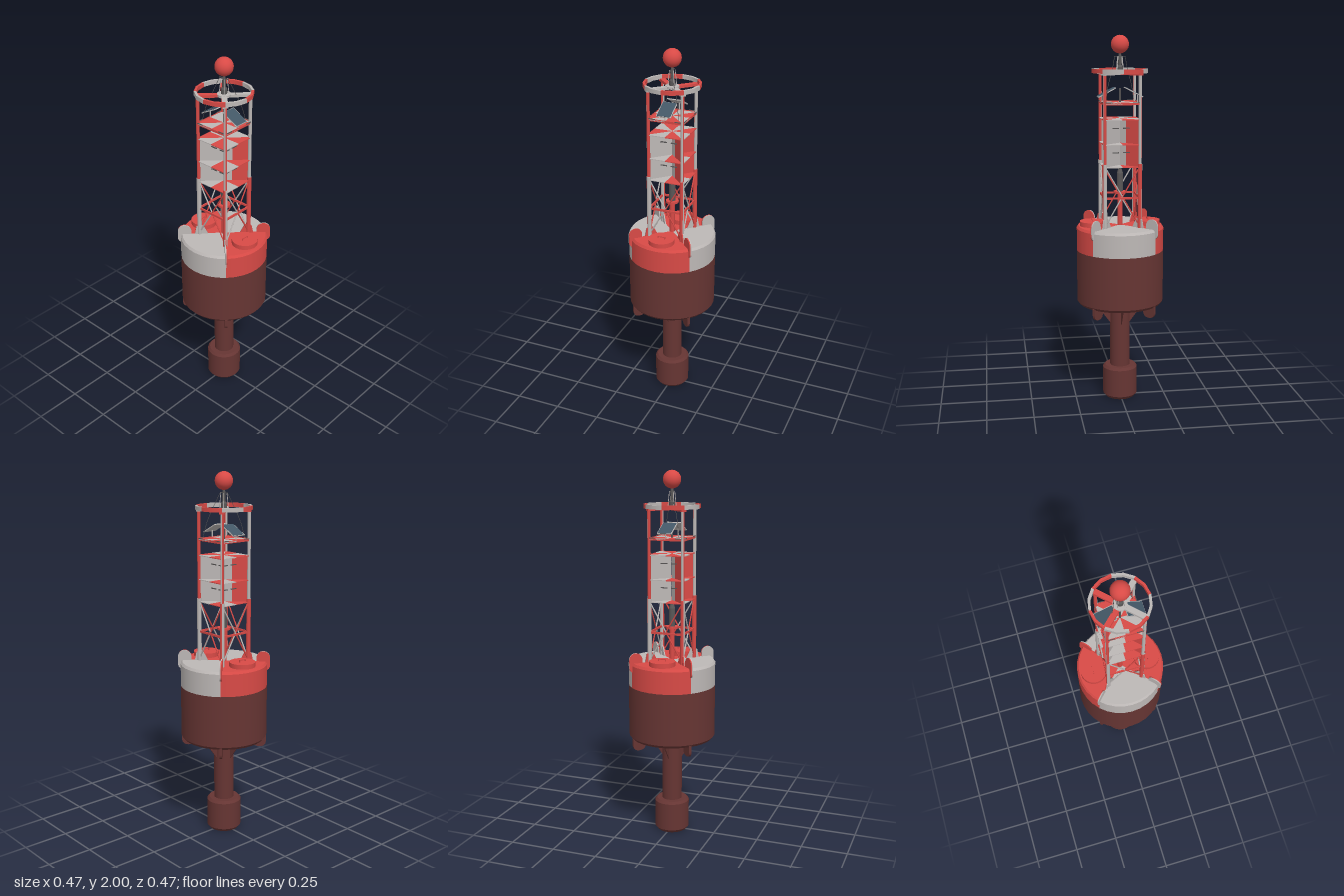
import * as THREE from 'three';

const mat = (name, color) => {
  const m = new THREE.MeshStandardMaterial({ color });
  m.name = name;
  return m;
};

export function createModel() {
  const red = mat('red', 0xd84a46), pale = mat('paleGrey', 0xbdb8b6);
  const maroon = mat('maroon', 0x663533), blue = mat('solarBlue', 0x435766);
  const metal = mat('darkMetal', 0x595757);
  const model = new THREE.Group();
  model.name = 'buoy';

  const add = (name, geo, material, parent = model, x = 0, y = 0, z = 0) => {
    const m = new THREE.Mesh(geo, material);
    m.name = name;
    m.position.set(x, y, z);
    parent.add(m);
    return m;
  };
  const group = (name, parent = model) => {
    const g = new THREE.Group();
    g.name = name;
    parent.add(g);
    return g;
  };
  // Turned part; doubled inner points keep the profile edges sharp
  const turned = (pts, segs = 32, start = 0, length = Math.PI * 2) => {
    const v = pts.flatMap((p, i) => {
      const a = new THREE.Vector2(...p);
      return i > 0 && i < pts.length - 1 ? [a, a.clone()] : [a];
    });
    return new THREE.LatheGeometry(v, segs, start, length);
  };
  const rod = (name, a, b, r, material, parent = model) => {
    const p = new THREE.Vector3(...a), q = new THREE.Vector3(...b);
    const m = add(name, new THREE.CylinderGeometry(r, r, p.distanceTo(q), 6), material, parent);
    m.position.copy(p).add(q).multiplyScalar(0.5);
    m.quaternion.setFromUnitVectors(new THREE.Vector3(0, 1, 0), q.sub(p).normalize());
  };

  // Underwater body: ballast, tail tube, lower hull
  add('ballastWeight', turned([[0, 0], [0.08, 0], [0.095, 0.018], [0.095, 0.172], [0.083, 0.185], [0, 0.185]]), maroon);
  add('tailTube', new THREE.CylinderGeometry(0.055, 0.055, 0.38, 24), maroon, model, 0, 0.37, 0);
  add('lowerHull', turned([[0, 0.55], [0.225, 0.55], [0.237, 0.565], [0.237, 0.85]]), maroon);

  // Plate outlines: x is the distance from the axis
  const outline = pts => new THREE.Shape(pts.map(p => new THREE.Vector2(...p)));
  const gusset = outline([[0.04, 0.42], [0.055, 0.43], [0.13, 0.53], [0.13, 0.56], [0.04, 0.56]]);
  const foot = outline([[0.085, 0.98], [0.16, 0.98], [0.15, 1.03], [0.125, 1.04], [0.11, 1.03]]);
  const lug = new THREE.Shape();
  lug.moveTo(0.178, 0.97);
  lug.lineTo(0.178, 1.005);
  lug.absarc(0.215, 1.003, 0.037, Math.PI, 0, true);
  lug.lineTo(0.252, 0.96);
  lug.quadraticCurveTo(0.25, 0.94, 0.232, 0.935);
  const keelLug = new THREE.Shape();
  keelLug.moveTo(0.163, 0.56);
  keelLug.lineTo(0.163, 0.522);
  keelLug.quadraticCurveTo(0.165, 0.492, 0.199, 0.492);
  keelLug.quadraticCurveTo(0.233, 0.492, 0.235, 0.522);
  keelLug.lineTo(0.235, 0.56);
  const plate = (shape, depth) => new THREE.ExtrudeGeometry(shape, { depth, bevelEnabled: false, curveSegments: 8 });
  const octant = s => outline([[0, 0], [0.1 * s, -0.1], [0, -0.1]]);

  for (let k = 0; k < 4; k++) {
    const quarter = group('quarter' + (k + 1));
    quarter.rotation.y = k * Math.PI / 2;
    const here = k % 2 ? red : pale, next = k % 2 ? pale : red;

    // Painted quarter of the hull and deck
    add('upperHull', turned([[0.237, 0.85], [0.237, 0.972], [0.228, 0.985], [0, 0.985]], 8, -Math.PI / 4, Math.PI / 2), here, quarter);
    add('tailGusset', plate(gusset, 0.005), maroon, quarter, 0, 0, -0.0025);

    // Lifting lugs and feet, painted differently on each side
    const corner = group('corner', quarter);
    corner.rotation.y = -Math.PI / 4;
    for (const [name, shape, t] of [['liftingLug', lug, 0.006], ['legFoot', foot, 0.006]]) {
      add(name, plate(shape, t), here, corner);
      add(name, plate(shape, t), next, corner, 0, 0, -t);
    }
    add('keelLug', plate(keelLug, 0.014), maroon, corner, 0, 0, -0.007);

    // Two-tone tower legs
    for (const [name, r, y0, y1, a, b] of [['lowerLeg', 0.012, 0.98, 1.33, red, pale], ['upperLeg', 0.009, 1.33, 1.8, pale, red]]) {
      [a, b].forEach((m, i) => add(name,
        new THREE.CylinderGeometry(r, r, y1 - y0, 6, 1, false, (i ? 0.25 : -0.75) * Math.PI, Math.PI),
        m, quarter, 0.094, (y0 + y1) / 2, 0.094));
    }

    // Arms under the top ring
    add('topArm', new THREE.BoxGeometry(0.136, 0.014, 0.028), k < 2 ? pale : red, corner, 0.076, 1.8, 0);

    for (const s of [-1, 1]) {
      const m = s < 0 ? pale : red;
      // Reflector: vertical sheet faces with a pale core, and shelves
      for (const [name, from, to, paint] of [['reflectorCore', 0, 0.04, pale], ['reflectorSheet', 0.04, 0.136, m]]) {
        const mid = (from + to) / 2 * Math.SQRT1_2;
        const sheet = add(name, new THREE.PlaneGeometry(to - from, 0.25), paint, quarter, (mid + 0.001) * s, 1.435, mid + 0.003);
        sheet.rotation.y = -s * Math.PI / 4;
      }
      for (const y of [1.31, 1.43, 1.56, 1.645]) {
        const shelf = add('reflectorShelf', plate(octant(s), 0.004), m, quarter, 0, y, 0);
        shelf.rotation.x = -Math.PI / 2;
      }
      for (const y of [1.385, 1.515])
        add('reflectorClip', new THREE.BoxGeometry(0.038, 0.005, 0.005), metal, quarter, 0.03 * s, y, 0.045);
      add('shelfClip', new THREE.BoxGeometry(0.036, 0.004, 0.003), metal, quarter, 0.072 * s, 1.653, 0.101);
      // Cross bracing
      rod('brace', [0.09 * s, 1.31, 0.094], [0, 1.155, 0.094], 0.004, m, quarter);
      rod('brace', [0.09 * s, 1.0, 0.094], [0, 1.155, 0.094], 0.004, m, quarter);
      // Top ring: flat band with a square section
      add('topRing', turned([[0.138, 1.803], [0.151, 1.803], [0.151, 1.825], [0.138, 1.825], [0.138, 1.803]], 2,
        s < 0 ? -Math.PI / 4 : 0, Math.PI / 4), m, quarter);
    }
    add('braceBar', new THREE.BoxGeometry(0.18, 0.011, 0.008), red, quarter, 0, 1.147, 0.094);
    add('shelfBar', new THREE.BoxGeometry(0.18, 0.012, 0.004), red, quarter, 0, 1.646, 0.098);

    // Slim lantern stays
    rod('lanternStay', [0.018, 1.8, 0.018], [0.011, 1.89, 0.011], 0.002, pale, quarter);
  }

  // Deck hatches, solar panels and cables on both sides
  for (const s of [-1, 1]) {
    const side = group(s > 0 ? 'leftSide' : 'rightSide');
    side.rotation.y = s > 0 ? 0 : Math.PI;
    add('hatch', new THREE.CylinderGeometry(0.07, 0.07, 0.026, 24), red, side, 0.15, 0.997, 0);
    add('hatchHandle', new THREE.BoxGeometry(0.005, 0.005, 0.044), red, side, 0.152, 1.02, 0);
    for (const z of [-0.02, 0.02])
      add('handlePost', new THREE.BoxGeometry(0.005, 0.012, 0.004), red, side, 0.152, 1.014, z);

    const panel = group('solarPanel', side);
    panel.position.set(0.073, 1.702, 0);
    panel.rotation.z = -0.48;
    add('panelFrame', new THREE.BoxGeometry(0.104, 0.005, 0.08), pale, panel);
    add('panelCells', new THREE.BoxGeometry(0.099, 0.003, 0.073), blue, panel, 0, 0.0025, 0);
    rod('panelStrut', [0.095, 1.65, 0], [0.095, 1.687, 0], 0.003, pale, side);
    const cable = new THREE.CatmullRomCurve3([[0.028, 1.89, 0], [0.045, 1.82, -0.03], [0.07, 1.74, -0.055], [0.085, 1.66, -0.07]]
      .map(p => new THREE.Vector3(...p)));
    add('cable', new THREE.TubeGeometry(cable, 10, 0.0015, 4), metal, side);
  }

  // Centre line: post, canister, lantern and topmark
  add('centrePost', new THREE.CylinderGeometry(0.014, 0.014, 0.19, 12), red, model, 0, 1.075, 0);
  add('canisterBase', new THREE.CylinderGeometry(0.035, 0.035, 0.012, 16), red, model, 0, 1.165, 0);
  add('canister', turned([[0, 1.17], [0.017, 1.17], [0.017, 1.27], [0.01, 1.29], [0.008, 1.31], [0, 1.31]], 16), metal);
  add('panelPost', new THREE.CylinderGeometry(0.005, 0.005, 0.075, 8), metal, model, 0, 1.687, 0);
  add('lanternPlate', new THREE.CylinderGeometry(0.036, 0.036, 0.012, 16), pale, model, 0, 1.803, 0);
  add('lantern', turned([[0, 1.81], [0.016, 1.81], [0.016, 1.835], [0.009, 1.845], [0.009, 1.88], [0.006, 1.91], [0, 1.91]], 16), metal);
  add('cableBar', new THREE.BoxGeometry(0.06, 0.003, 0.004), metal, model, 0, 1.89, 0);
  add('topmarkBall', new THREE.SphereGeometry(0.048, 24, 16), red, model, 0, 1.952, 0);
  return model;
}
